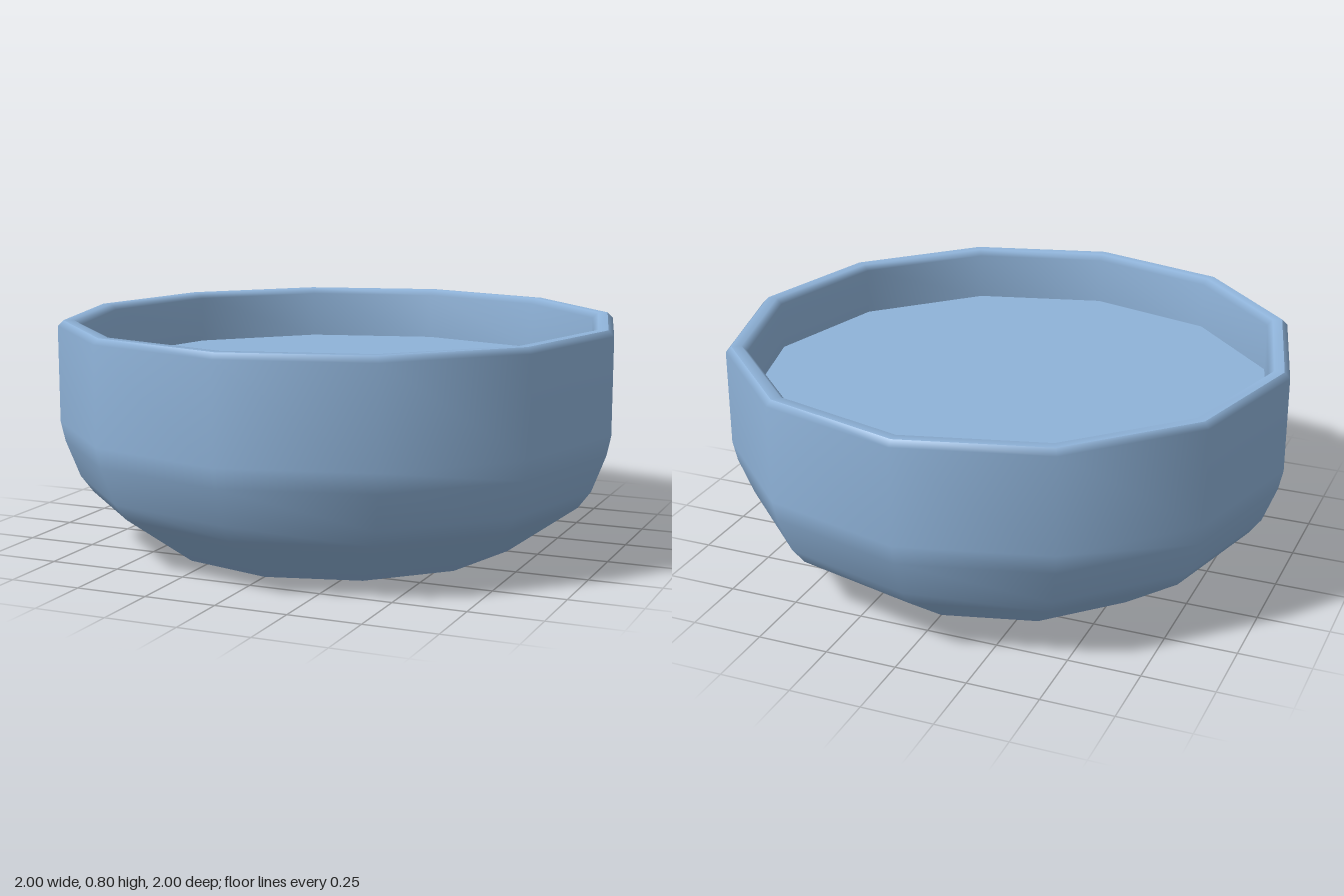
import * as THREE from 'three';

const SIDES = 12;

export function createModel() {
  const model = new THREE.Group();
  model.name = 'bowl';
  const material = new THREE.MeshStandardMaterial({ color: 0x8fb3d9 });

  // Turns a profile of [radius, height] points; normals are smooth within a part
  const turned = (name, profile) => {
    const points = profile.map(([r, y]) => new THREE.Vector2(r, y));
    const mesh = new THREE.Mesh(new THREE.LatheGeometry(points, SIDES), material);
    mesh.name = name;
    model.add(mesh);
  };

  // Flat foot
  turned('base', [[0, 0], [0.64, 0]]);

  // Flared lower body, upright side and small bevel at the top
  turned('outerWall', [
    [0.64, 0], [0.89, 0.18], [0.935, 0.24], [0.985, 0.37],
    [1, 0.44], [1, 0.78], [0.98, 0.8],
  ]);

  // Rim rounding over into the inside wall
  turned('rimAndInnerWall', [[0.98, 0.8], [0.945, 0.8], [0.925, 0.78], [0.925, 0.61]]);

  // Flat surface inside, just below the rim
  turned('innerFloor', [[0.925, 0.61], [0, 0.61]]);

  return model;
}
